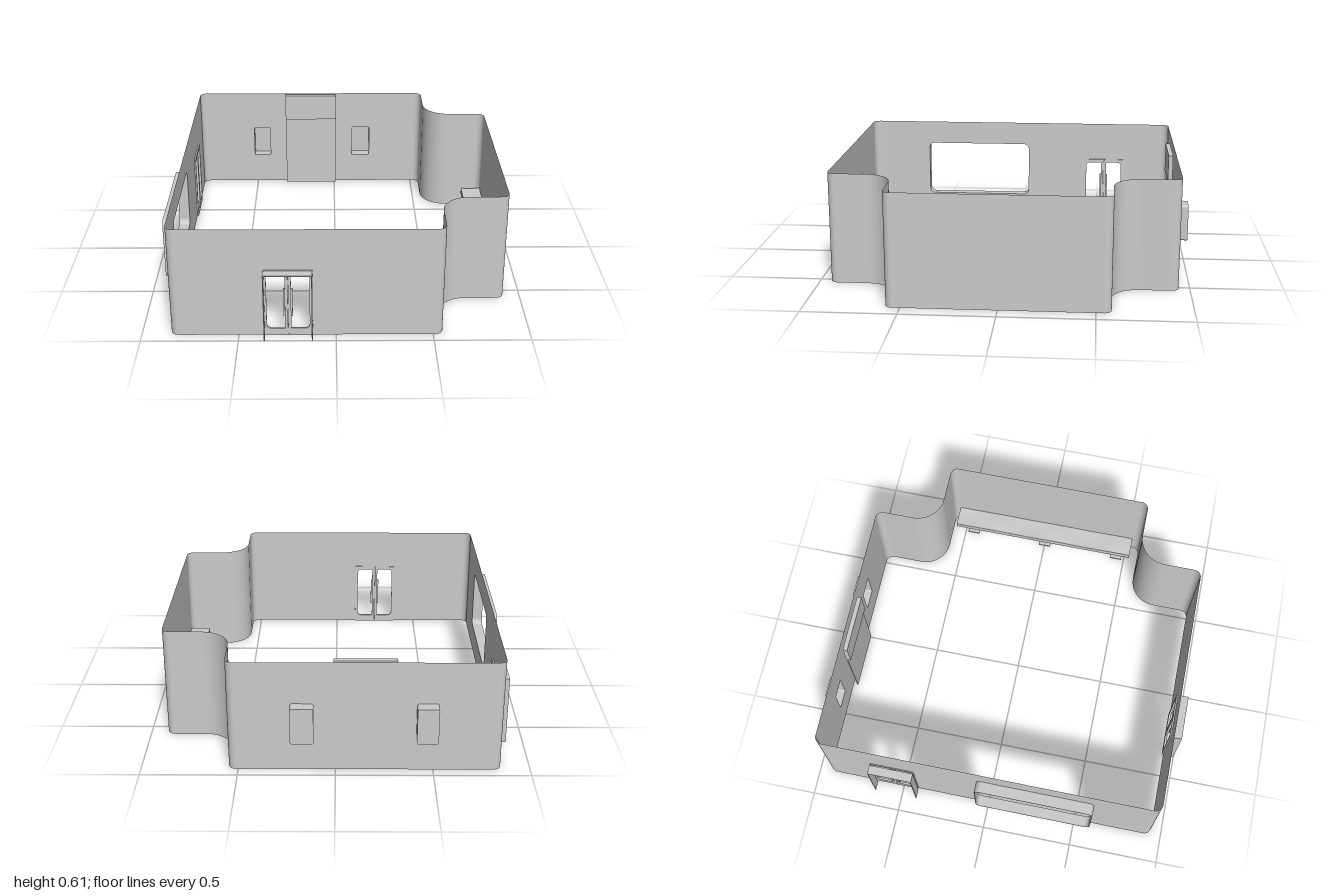
import * as THREE from 'three';

const H = 0.61;
const mat = new THREE.MeshStandardMaterial({ color: 0xcccccc, side: THREE.DoubleSide });

function add(parent, name, geometry, x = 0, y = 0, z = 0) {
  const mesh = new THREE.Mesh(geometry, mat);
  mesh.name = name;
  mesh.position.set(x, y, z);
  parent.add(mesh);
  return mesh;
}

const box = (parent, name, w, h, d, x, y, z) =>
  add(parent, name, new THREE.BoxGeometry(w, h, d), x, y, z);

// Rectangle from (x0, y0) to (x1, y1) with rounded corners
function rect(x0, y0, x1, y1, r = 0, Type = THREE.Shape) {
  const p = new Type();
  if (!r) {
    p.moveTo(x0, y0); p.lineTo(x1, y0); p.lineTo(x1, y1); p.lineTo(x0, y1); p.closePath();
    return p;
  }
  p.absarc(x0 + r, y0 + r, r, Math.PI, Math.PI * 1.5);
  p.absarc(x1 - r, y0 + r, r, -Math.PI / 2, 0);
  p.absarc(x1 - r, y1 - r, r, 0, Math.PI / 2);
  p.absarc(x0 + r, y1 - r, r, Math.PI / 2, Math.PI);
  p.closePath();
  return p;
}

const extrude = (shape, depth) =>
  new THREE.ExtrudeGeometry(shape, { depth, bevelEnabled: false, curveSegments: 6 });

// Thin sleeve lining an opening, running outward from the wall
function sleeve(parent, name, o, depth, t = 0.004) {
  const s = rect(o.x0, o.y0, o.x1, o.y1, o.r);
  s.holes.push(rect(o.x0 + t, o.y0 + t, o.x1 - t, o.y1 - t, o.r - t, THREE.Path));
  add(parent, name, extrude(s, depth));
}

// Flat wall in its own frame: x along the wall, z outward
function wall(root, name, angle, dist, a, b, openings = []) {
  const g = new THREE.Group();
  g.name = name;
  g.rotation.y = angle;
  g.position.set(Math.sin(angle) * dist, 0, Math.cos(angle) * dist);
  const s = new THREE.Shape();
  s.moveTo(a, 0);
  // Door openings reach the floor, so they notch the outline
  for (const o of openings.filter((q) => q.y0 === 0)) {
    s.lineTo(o.x0, 0); s.lineTo(o.x0, o.y1); s.lineTo(o.x1, o.y1); s.lineTo(o.x1, 0);
  }
  s.lineTo(b, 0); s.lineTo(b, H); s.lineTo(a, H); s.closePath();
  for (const o of openings.filter((q) => q.y0 > 0)) {
    s.holes.push(rect(o.x0, o.y0, o.x1, o.y1, o.r, THREE.Path));
  }
  add(g, name + 'Panel', new THREE.ShapeGeometry(s, 6));
  root.add(g);
  return g;
}

// Rounded vertical corner, quarter turn
function corner(root, x, z, r, start) {
  add(root, 'wallCorner',
    new THREE.CylinderGeometry(r, r, H, 10, 1, true, start, Math.PI / 2), x, H / 2, z);
}

// Double door with glazed openings, pull handles and an outer porch frame
function door(parent, o) {
  const g = new THREE.Group();
  g.name = 'doubleDoor';
  parent.add(g);
  const mid = (o.x0 + o.x1) / 2, t = 0.005;
  for (const side of [-1, 1]) {
    const inner = mid + side * 0.001, outer = side < 0 ? o.x0 : o.x1;
    const lo = Math.min(inner, outer), hi = Math.max(inner, outer);
    const leaf = rect(lo, 0, hi, o.y1);
    const near = mid + side * 0.016, far = mid + side * 0.11;
    const dir = -side, rr = 0.025;
    // Window is square at the meeting stile and rounded at the hinge side
    const hole = new THREE.Path();
    hole.moveTo(near, 0.04);
    hole.lineTo(far + dir * rr, 0.04);
    hole.quadraticCurveTo(far, 0.04, far, 0.04 + rr);
    hole.lineTo(far, 0.36 - rr);
    hole.quadraticCurveTo(far, 0.36, far + dir * rr, 0.36);
    hole.lineTo(near, 0.36);
    hole.closePath();
    leaf.holes.push(hole);
    add(g, 'doorLeaf', extrude(leaf, 0.012), 0, 0, -0.008);
    box(g, 'doorHandle', 0.01, 0.16, 0.012, mid + side * 0.019, 0.2, 0.01);
  }
  const porch = new THREE.Shape();
  const pts = [[o.x0, 0], [o.x0 + t, 0], [o.x0 + t, o.y1 - t], [o.x1 - t, o.y1 - t],
    [o.x1 - t, 0], [o.x1, 0], [o.x1, o.y1], [o.x0, o.y1]];
  porch.setFromPoints(pts.map(([x, y]) => new THREE.Vector2(x, y)));
  add(g, 'doorFrame', extrude(porch, 0.049), 0, 0, 0.011);
}

export function createModel() {
  const root = new THREE.Group();
  root.name = 'room';
  const PI = Math.PI;

  // Front wall with entrance
  const frontDoor = { x0: -0.37, x1: -0.12, y0: 0, y1: 0.38 };
  door(wall(root, 'frontWall', 0, 0.94, -0.81, 0.51, [frontDoor]), frontDoor);

  // Side wall with second door and a wide window
  const sideDoor = { x0: -0.66, x1: -0.415, y0: 0, y1: 0.38 };
  const win = { x0: -0.06, x1: 0.59, y0: 0.135, y1: 0.475, r: 0.035 };
  const side = wall(root, 'windowWall', -PI / 2, 0.85, -0.9, 0.9, [sideDoor, win]);
  door(side, sideDoor);
  sleeve(side, 'windowFrame', win, 0.06);

  // Back wall with two recessed niches and a raised panel under a header
  const niches = [[-0.23, -0.11], [0.41, 0.52]]
    .map(([x0, x1]) => ({ x0, x1, y0: 0.18, y1: 0.38, r: 0.012 }));
  const back = wall(root, 'backWall', PI, 0.94, -0.51, 0.81, niches);
  for (const n of niches) {
    sleeve(back, 'nicheSides', n, 0.06);
    add(back, 'nicheBack', new THREE.ShapeGeometry(rect(n.x0, n.y0, n.x1, n.y1, n.r)), 0, 0, 0.06);
  }
  box(back, 'backPanel', 0.32, 0.45, 0.006, 0.15, 0.225, -0.023);
  box(back, 'panelHeader', 0.32, 0.16, 0.025, 0.15, 0.53, -0.0325);

  // Plain wall and the stepped-in corners at both its ends
  wall(root, 'plainWall', PI / 2, 0.91, -0.54, 0.54);
  for (const s of [1, -1]) {
    const step = new THREE.Group();
    step.name = 'steppedCorner';
    step.scale.z = s;
    root.add(step);
    wall(step, 'stepReturn', PI / 2, 0.55, -0.9, -0.73);
    wall(step, 'stepFace', 0, 0.58, 0.7, 0.87);
    corner(step, 0.51, 0.9, 0.04, 0);
    corner(step, 0.87, 0.54, 0.04, 0);
    corner(step, 0.7, 0.73, 0.15, PI);
    corner(step, -0.81, 0.9, 0.04, -PI / 2);
  }

  // Long bench with a gently waved seat along the plain wall
  const seat = new THREE.BoxGeometry(0.115, 0.035, 1.08, 4, 1, 36);
  const p = seat.attributes.position;
  for (let i = 0; i < p.count; i++) {
    if (p.getY(i) > 0) p.setY(i, p.getY(i) + 0.005 * Math.sin(p.getZ(i) * 17) * Math.cos(p.getX(i) * 20));
  }
  seat.computeVertexNormals();
  add(root, 'benchSeat', seat, 0.85, 0.105, -0.01);
  for (const z of [-0.45, 0, 0.45]) {
    box(root, 'benchFoot', 0.08, 0.01, 0.07, 0.85, 0.005, z);
    box(root, 'benchLeg', 0.03, 0.085, 0.03, 0.85, 0.0475, z);
  }
  return root;
}
